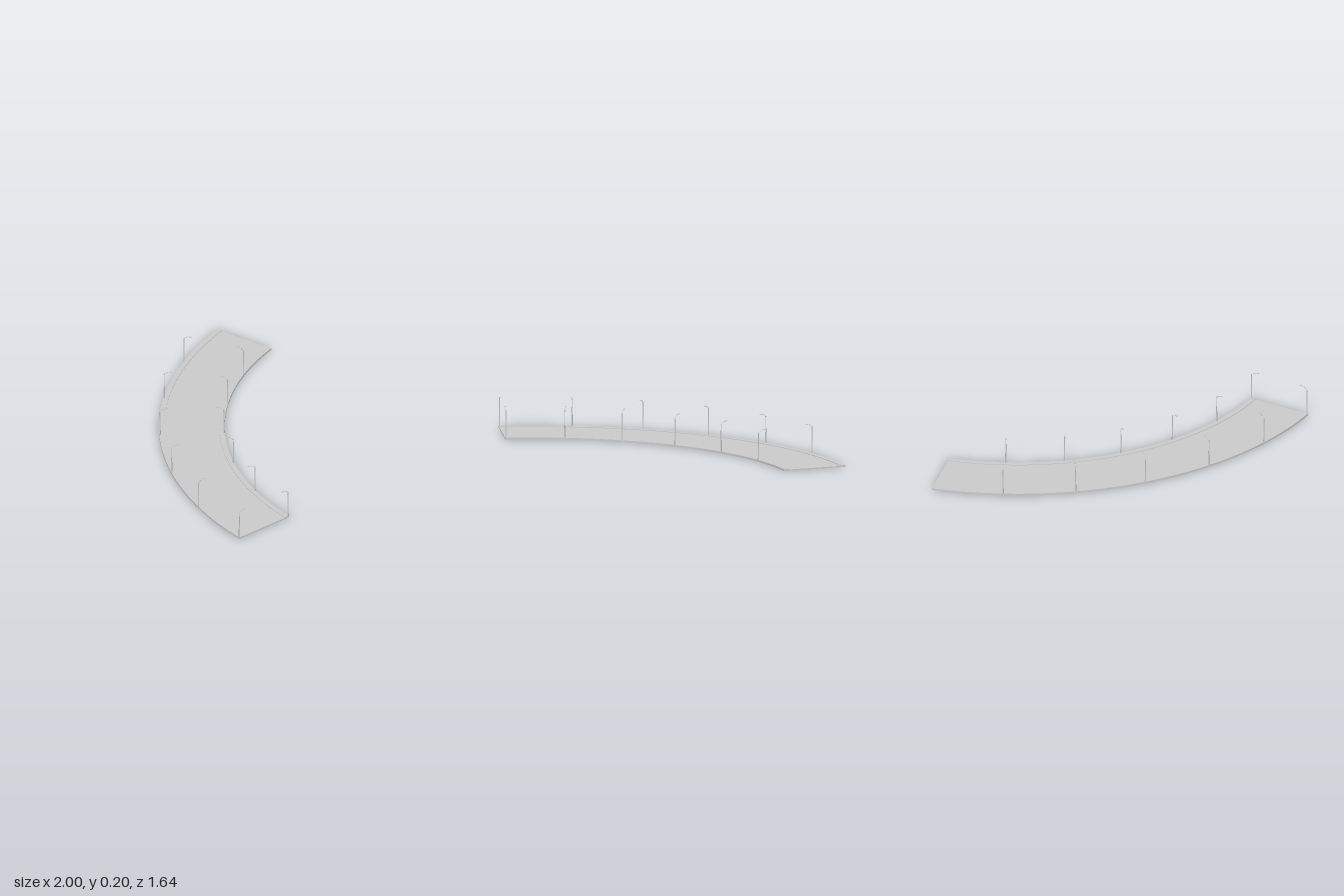
import * as THREE from 'three';
import { toCreasedNormals } from 'three/addons/utils/BufferGeometryUtils.js';

const CX = 1, CZ = -1.258;            // centre of the bend
const R_IN = 1.664, R_OUT = 2.0706;   // road edges
const SWEEP = THREE.MathUtils.degToRad(75);
const WALK = 0.033;                   // sidewalk width

const mat = new THREE.MeshStandardMaterial({ color: 0xcccccc });

function add(parent, name, geometry, x = 0, y = 0, z = 0) {
  const mesh = new THREE.Mesh(geometry, mat);
  mesh.name = name;
  mesh.position.set(x, y, z);
  parent.add(mesh);
  return mesh;
}

// Flat ring sector between two radii, standing on y = 0
function bend(r0, r1, height) {
  const a0 = -Math.PI / 2, a1 = a0 - SWEEP;
  const s = new THREE.Shape();
  s.absarc(0, 0, r1, a0, a1, true);
  s.absarc(0, 0, r0, a1, a0, false);
  s.closePath();
  const g = new THREE.ExtrudeGeometry(s, { depth: height, bevelEnabled: false, curveSegments: 40 });
  g.rotateX(-Math.PI / 2);
  return toCreasedNormals(g, 0.5);
}

// Street lamp whose arm reaches along local +z
function makeLamp() {
  const lamp = new THREE.Group();
  add(lamp, 'lampBase', new THREE.CylinderGeometry(0.0038, 0.0045, 0.07, 8), 0, 0.045, 0);
  add(lamp, 'lampPost', new THREE.CylinderGeometry(0.002, 0.0032, 0.1, 8), 0, 0.13, 0);
  add(lamp, 'lampCollar', new THREE.CylinderGeometry(0.0035, 0.0035, 0.005, 8), 0, 0.179, 0);
  const path = new THREE.CatmullRomCurve3([
    new THREE.Vector3(0, 0.178, 0),
    new THREE.Vector3(0, 0.184, 0.006),
    new THREE.Vector3(0, 0.194, 0.02),
    new THREE.Vector3(0, 0.198, 0.036),
  ]);
  add(lamp, 'lampArm', new THREE.TubeGeometry(path, 10, 0.0014, 6), 0, 0, 0);
  add(lamp, 'lampHead', new THREE.BoxGeometry(0.007, 0.003, 0.018), 0, 0.1985, 0.042);
  return lamp;
}

export function createModel() {
  const model = new THREE.Group();
  model.name = 'curvedRoad';

  // Roadway and its raised sidewalks
  add(model, 'roadway', bend(R_IN + WALK, R_OUT - WALK, 0.008), CX, 0, CZ);
  add(model, 'innerSidewalk', bend(R_IN, R_IN + WALK, 0.0115), CX, 0, CZ);
  add(model, 'outerSidewalk', bend(R_OUT - WALK, R_OUT, 0.0115), CX, 0, CZ);

  // Lamps on both sides, arms reaching over the road
  for (const [name, r, turn] of [['innerLamp', 1.669, 0], ['outerLamp', 2.0655, Math.PI]]) {
    for (let i = 0; i < 6; i++) {
      const a = THREE.MathUtils.degToRad(i * 12.5) + 0.005 / r;
      const lamp = makeLamp();
      lamp.name = name;
      lamp.position.set(CX - r * Math.sin(a), 0, CZ + r * Math.cos(a));
      lamp.rotation.y = turn - a;
      model.add(lamp);
    }
  }
  return model;
}
